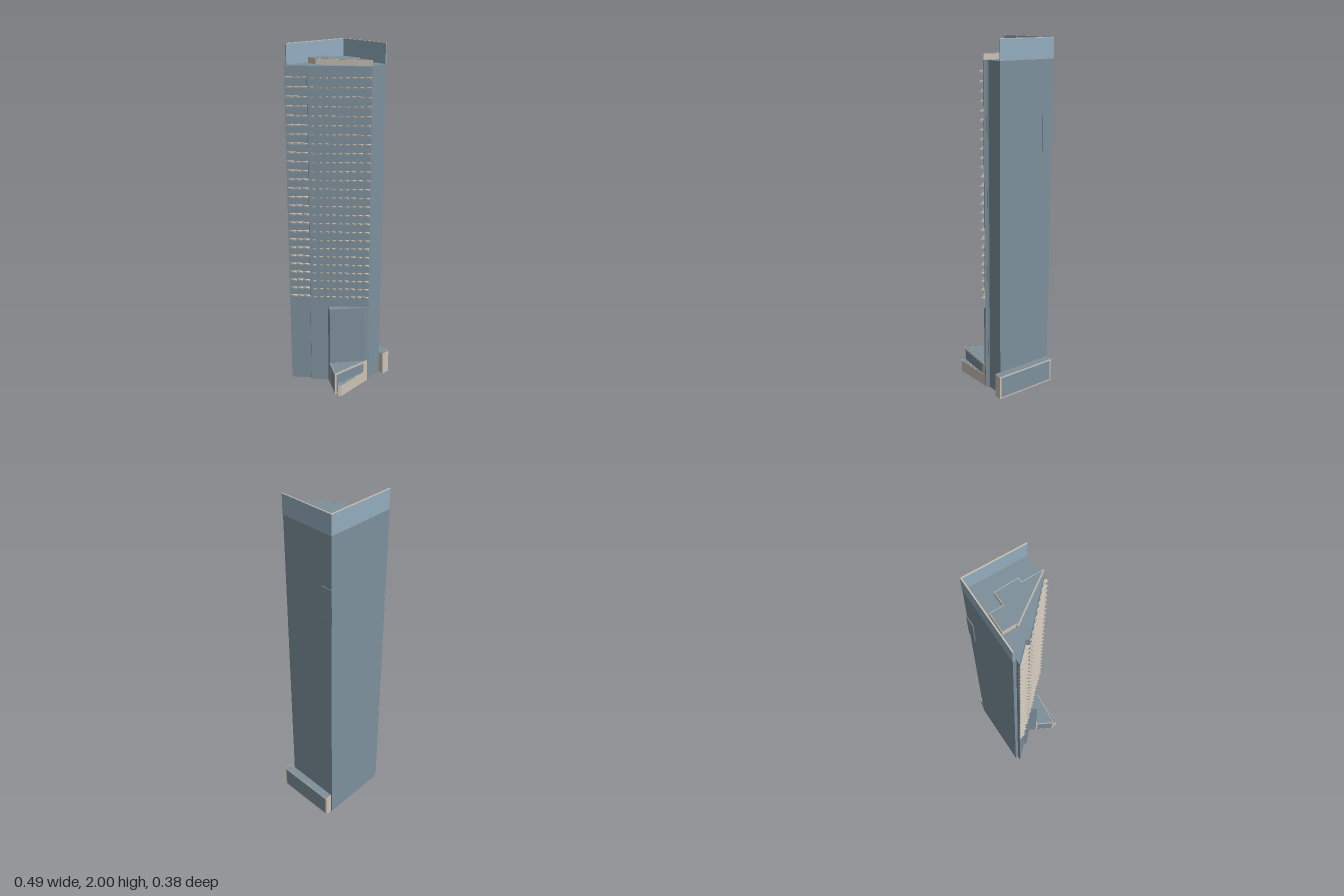
import * as THREE from 'three';

const mat = (name, color) => Object.assign(new THREE.MeshStandardMaterial({ color }), { name });

export function createModel() {
  const glass = mat('tower glass', 0x7d909c);
  const paleGlass = mat('parapet glass', 0x94adbf);
  const stone = mat('warm stone', 0xccc2b5);
  const group = new THREE.Group();

  // Upright prism over a plan outline of [x, z] points
  function prism(name, pts, y0, y1, caps, sides = caps) {
    const shape = new THREE.Shape(pts.map(([x, z]) => new THREE.Vector2(x, -z)));
    const geo = new THREE.ExtrudeGeometry(shape, { depth: y1 - y0, bevelEnabled: false });
    geo.rotateX(-Math.PI / 2).translate(0, y0, 0);
    const mesh = new THREE.Mesh(geo, [caps, sides]);
    mesh.name = name;
    group.add(mesh);
  }

  // Outline moved inwards by d; points run clockwise as seen from above
  function inset(pts, d) {
    return pts.map((p, i) => {
      const a = pts[(i + pts.length - 1) % pts.length], b = pts[(i + 1) % pts.length];
      const u = new THREE.Vector2(p[0] - a[0], p[1] - a[1]).normalize();
      const v = new THREE.Vector2(b[0] - p[0], b[1] - p[1]).normalize();
      const k = d / (1 + u.dot(v));
      return [p[0] - (u.y + v.y) * k, p[1] + (u.x + v.x) * k];
    });
  }

  // Stone block with a glazed roof inside a narrow rim
  function block(name, pts, y0, y1, rim) {
    prism(name, pts, y0, y1, stone);
    prism(name + 'Roof', inset(pts, rim), y1 - 0.002, y1 + 0.001, glass);
  }

  // Thin glass pane on the wall from a to b
  function pane(name, a, b, y0, y1, m) {
    const dx = b[0] - a[0], dz = b[1] - a[1];
    const mesh = new THREE.Mesh(
      new THREE.BoxGeometry(Math.hypot(dx, dz) - 2 * m, y1 - y0 - 2 * m, 0.003), glass);
    mesh.position.set((a[0] + b[0]) / 2, (y0 + y1) / 2, (a[1] + b[1]) / 2);
    mesh.rotation.y = -Math.atan2(dz, dx);
    mesh.name = name;
    group.add(mesh);
  }

  // Main shaft with the stepped diagonal facade
  prism('tower', [
    [-0.245, -0.165], [-0.218, -0.165], [-0.218, -0.183], [0.2, -0.189], [0.192, 0.152],
    [0.097, 0.157], [0.09, 0.164], [0.086, 0.162], [0.078, 0.175], [0.07, 0.172],
    [-0.172, -0.066], [-0.162, -0.08],
  ], 0, 1.89, glass);

  // Parapet screen along the back and the left side
  const parapet = [
    [-0.218, -0.184], [0.202, -0.19], [0.194, 0.153], [0.188, 0.153], [0.195, -0.183], [-0.218, -0.177],
  ];
  prism('parapet', parapet, 1.89, 1.997, paleGlass);
  prism('parapetCap', parapet, 1.997, 2, stone);

  // Rooftop plant room
  block('plantRoom', [
    [-0.088, -0.155], [0.022, -0.155], [0.022, -0.082], [0.098, -0.082], [0.102, 0.048],
    [0.076, 0.05], [0.076, 0.172], [-0.098, -0.08], [-0.088, -0.08],
  ], 1.885, 1.92, 0.003);

  // Bay wrapping the rear corner
  prism('cornerBay', [
    [0.142, -0.193], [0.203, -0.193], [0.203, -0.123], [0.192, -0.123], [0.192, -0.18], [0.142, -0.18],
  ], 1.4, 1.6, glass);

  // Triangular balconies: [start x, start z, tip x, tip z, end x, end z]
  const balconies = [
    [-0.243, -0.163, -0.23, -0.115, -0.218, -0.135],
    [-0.216, -0.135, -0.205, -0.09, -0.19, -0.109],
    [-0.19, -0.108, -0.178, -0.06, -0.162, -0.08],
    [-0.16, -0.055, -0.155, -0.035, -0.147, -0.042],
    [-0.133, -0.029, -0.13, -0.007, -0.119, -0.015],
    [-0.107, -0.002, -0.104, 0.021, -0.093, 0.011],
    [-0.082, 0.023, -0.077, 0.048, -0.066, 0.038],
    [-0.056, 0.048, -0.05, 0.075, -0.039, 0.064],
    [-0.031, 0.072, -0.025, 0.1, -0.012, 0.09],
    [-0.005, 0.097, 0, 0.128, 0.015, 0.116],
    [0.02, 0.121, 0.025, 0.155, 0.042, 0.142],
    [0.047, 0.147, 0.053, 0.185, 0.071, 0.171],
  ];
  for (let row = 0; row < 26; row++) {
    const y = 0.563 + row * 0.0507;
    for (const [ax, az, tx, tz, bx, bz] of balconies) {
      // The base reaches slightly into the wall
      prism('balcony', [[ax + 0.004, az - 0.004], [bx + 0.004, bz - 0.004], [bx, bz], [tx, tz], [ax, az]],
        y - 0.004, y + 0.004, stone);
    }
  }

  // Mid-height wedge against the diagonal facade
  prism('lowerWedge', [[-0.098, 0.005], [0.07, 0.172], [0.05, 0.164], [-0.12, 0.045]], 0, 0.5, glass);

  // Fanned entrance blocks
  const fan = [[-0.12, 0.045], [0.068, 0.172], [-0.177, 0.153]];
  block('entranceBlock', fan, 0, 0.14, 0.003);
  pane('entranceFrontGlass', fan[2], [0.05, 0.1706], 0, 0.14, 0.011);
  pane('entranceSideGlass', fan[0], fan[2], 0, 0.14, 0.011);
  block('entranceLowBlock',
    [[-0.165, 0.16], [0.06, 0.172], [-0.16, 0.19], [-0.175, 0.177]], 0, 0.07, 0.002);

  // Side annex
  const annex = [[0.19, -0.183], [0.243, -0.184], [0.238, 0.187], [0.19, 0.185]];
  block('annex', annex, 0, 0.139, 0.003);
  pane('annexGlass', annex[1], annex[2], 0, 0.14, 0.009);

  return group;
}
